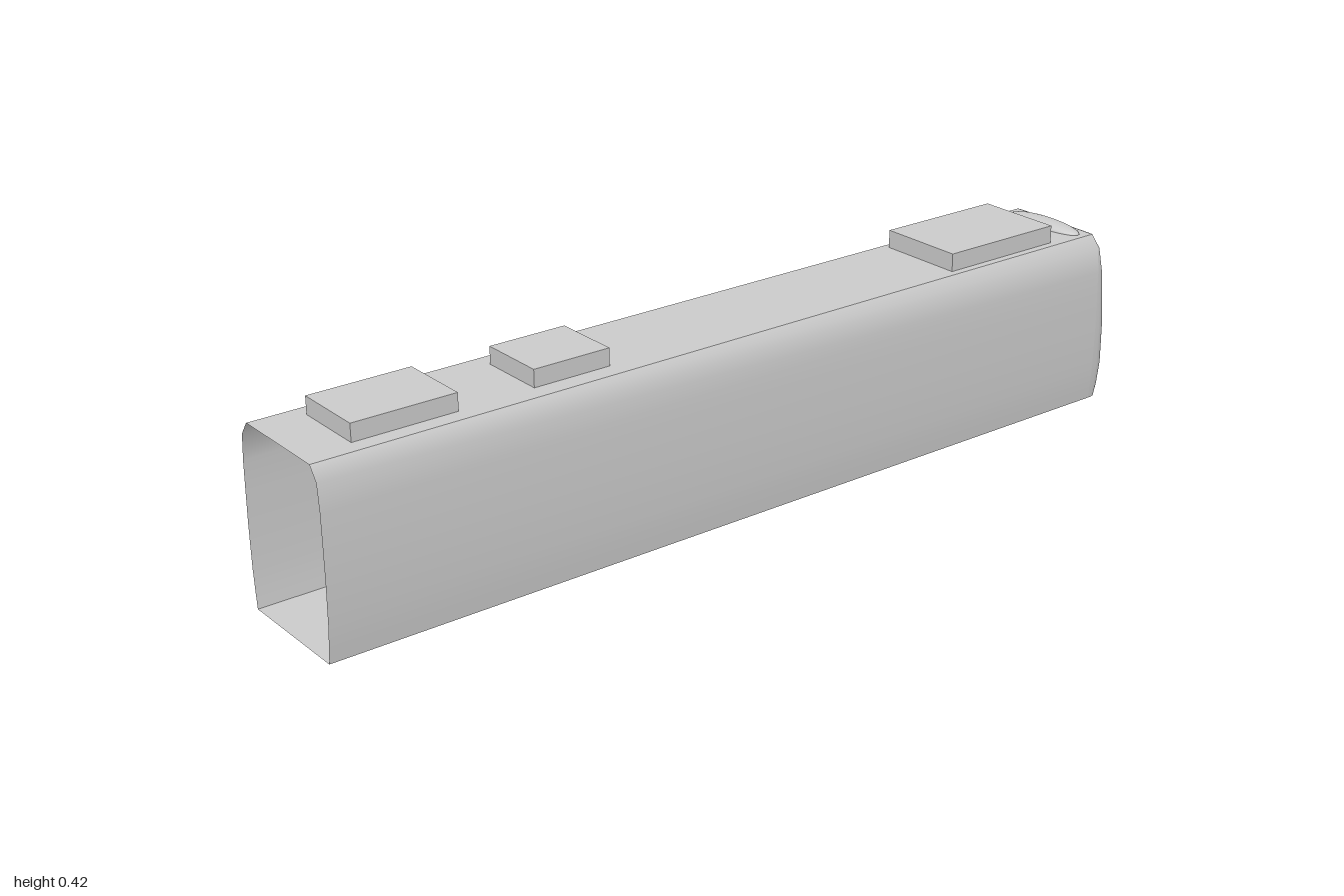
import * as THREE from 'three';

const bodyGrey = new THREE.MeshStandardMaterial({ color: 0xcccccc, side: THREE.DoubleSide });
bodyGrey.name = 'body grey';

const FRONT = 1, SEAM = -0.94, ROOF = 0.383;

// Half cross-section of the hull: [half width, height, nose depth at that height]
const SECTION = [
  [0.132, 0, 0.046], [0.135, 0.03, 0.055], [0.139, 0.08, 0.06], [0.141, 0.17, 0.055],
  [0.14, 0.24, 0.046], [0.139, 0.3, 0.036], [0.134, 0.355, 0.017], [0.114, ROOF, 0.002],
];

// Smooth surface through rows of [x, y, z] points
function grid(rows) {
  const n = rows[0].length, index = [];
  for (let i = 0; i < rows.length - 1; i++) {
    for (let j = 0; j < n - 1; j++) {
      const a = i * n + j, b = a + 1, c = a + n, d = c + 1;
      index.push(a, b, c, b, d, c);
    }
  }
  const g = new THREE.BufferGeometry();
  g.setAttribute('position', new THREE.Float32BufferAttribute(rows.flat(2), 3));
  g.setIndex(index);
  g.computeVertexNormals();
  return g;
}

// Rounded outline of the nose at one height, from +x round to -x
function noseRow([w, y, depth], steps = 32) {
  const row = [];
  for (let i = 0; i <= steps; i++) {
    const a = (i / steps) * Math.PI, c = Math.cos(a);
    row.push([
      w * Math.sign(c) * Math.abs(c) ** (2 / 3), y,
      SEAM - depth * Math.max(0, Math.sin(a)) ** (2 / 3),
    ]);
  }
  return row;
}

export function createModel() {
  const model = new THREE.Group();
  model.name = 'railCar';
  const add = (name, geometry) => {
    const mesh = new THREE.Mesh(geometry, bodyGrey);
    mesh.name = name;
    model.add(mesh);
    return mesh;
  };

  // Curved side walls, open at the front end
  add('leftWall', grid(SECTION.map(([w, y]) => [[w, y, FRONT], [w, y, SEAM]])));
  add('rightWall', grid(SECTION.map(([w, y]) => [[-w, y, SEAM], [-w, y, FRONT]])));

  // Flat roof
  const rw = SECTION[SECTION.length - 1][0];
  add('roof', grid([FRONT, SEAM].map((z) => [[-rw, ROOF, z], [rw, ROOF, z]])));

  // Floor, following the nose outline
  const half = noseRow(SECTION[0]).slice(0, 17);
  const edge = [[SECTION[0][0], 0, FRONT], ...half];
  add('floor', grid(edge.map(([x, y, z]) => [[x, y, z], [-x, y, z]])));

  // Rounded nose at the back end
  add('nose', grid(SECTION.map((s) => noseRow(s))));

  // Low bulge where the nose meets the roof
  const brow = add('noseBrow', new THREE.SphereGeometry(1, 24, 8, 0, Math.PI * 2, 0, Math.PI / 2));
  brow.scale.set(0.1, 0.013, 0.03);
  brow.position.set(0, ROOF, -0.91);

  // Roof equipment boxes: [name, half width, z start, z end, top]
  for (const [name, w, z0, z1, top] of [
    ['frontRoofBox', 0.079, 0.675, 0.897, 0.42],
    ['middleRoofBox', 0.074, 0.335, 0.507, 0.42],
    ['rearRoofBox', 0.098, -0.827, -0.533, 0.422],
  ]) {
    const box = add(name, new THREE.BoxGeometry(w * 2, top - ROOF, z1 - z0));
    box.position.set(-0.001, (top + ROOF) / 2, (z0 + z1) / 2);
  }

  return model;
}
